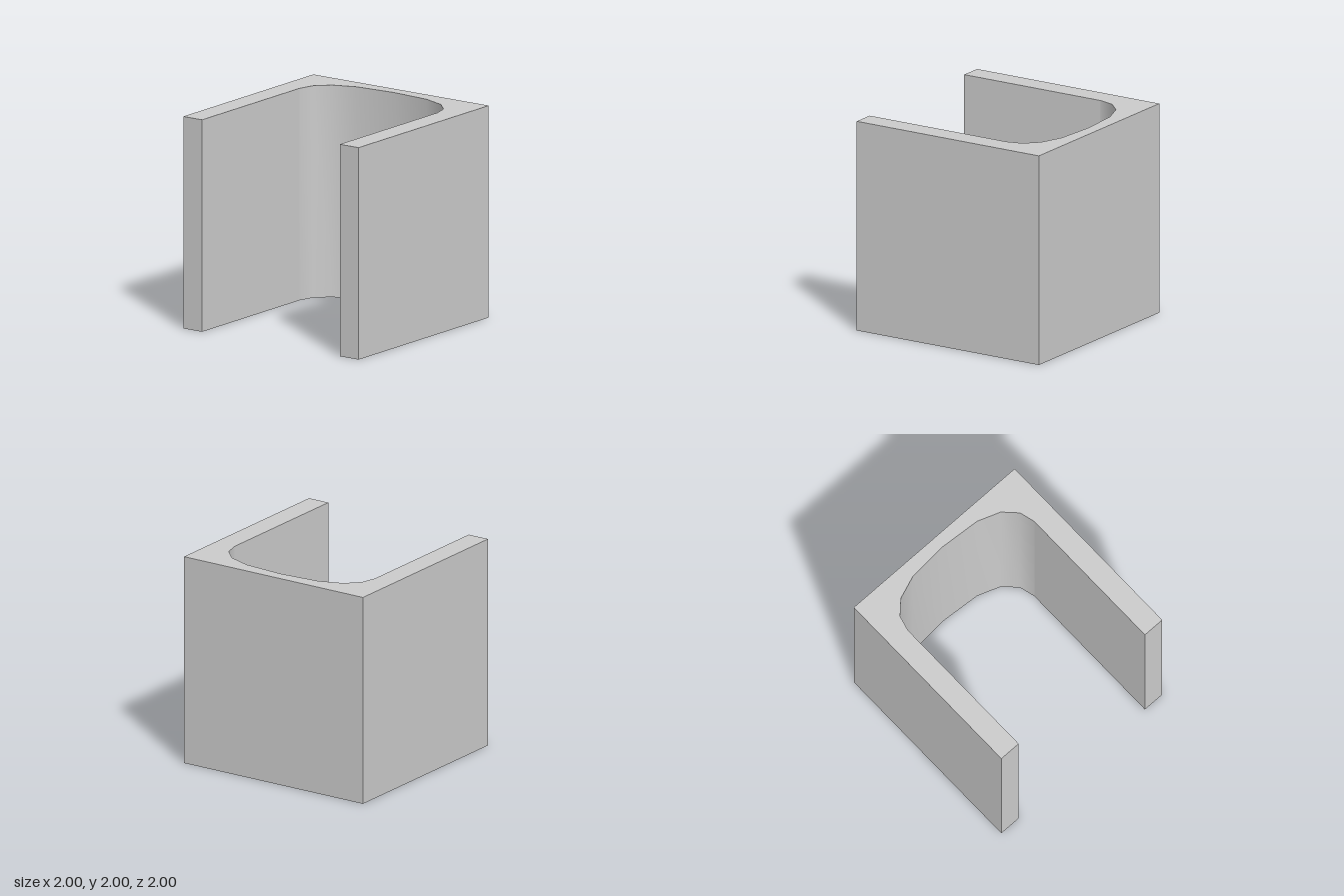
import * as THREE from 'three';
import { toCreasedNormals } from 'three/addons/utils/BufferGeometryUtils.js';

export function createModel() {
  const group = new THREE.Group();
  group.name = 'archChannel';

  // Right half of the arched recess, from the open front to the crown (x, depth towards the back)
  const half = [
    [0.785, -1], [0.785, 0.49], [0.785, 0.5], [0.745, 0.65],
    [0.62, 0.775], [0.4, 0.855],
  ];
  const mirrored = half.map(([x, y]) => [-x, y]).reverse();

  // Square outer walls, then the recess
  const outline = [
    [-1, -1], [-1, 1], [1, 1], [1, -1],
    ...half, [0, 0.885], ...mirrored,
  ];
  const shape = new THREE.Shape(outline.map(([x, y]) => new THREE.Vector2(x, y)));

  // Extrude upwards; the curve is smooth while the corners stay sharp
  const extruded = new THREE.ExtrudeGeometry(shape, { depth: 2, bevelEnabled: false });
  extruded.rotateX(-Math.PI / 2);
  const geometry = toCreasedNormals(extruded, 0.65);

  const block = new THREE.Mesh(geometry, new THREE.MeshStandardMaterial({ color: 0xcccccc }));
  block.name = 'channelBlock';
  group.add(block);
  return group;
}
